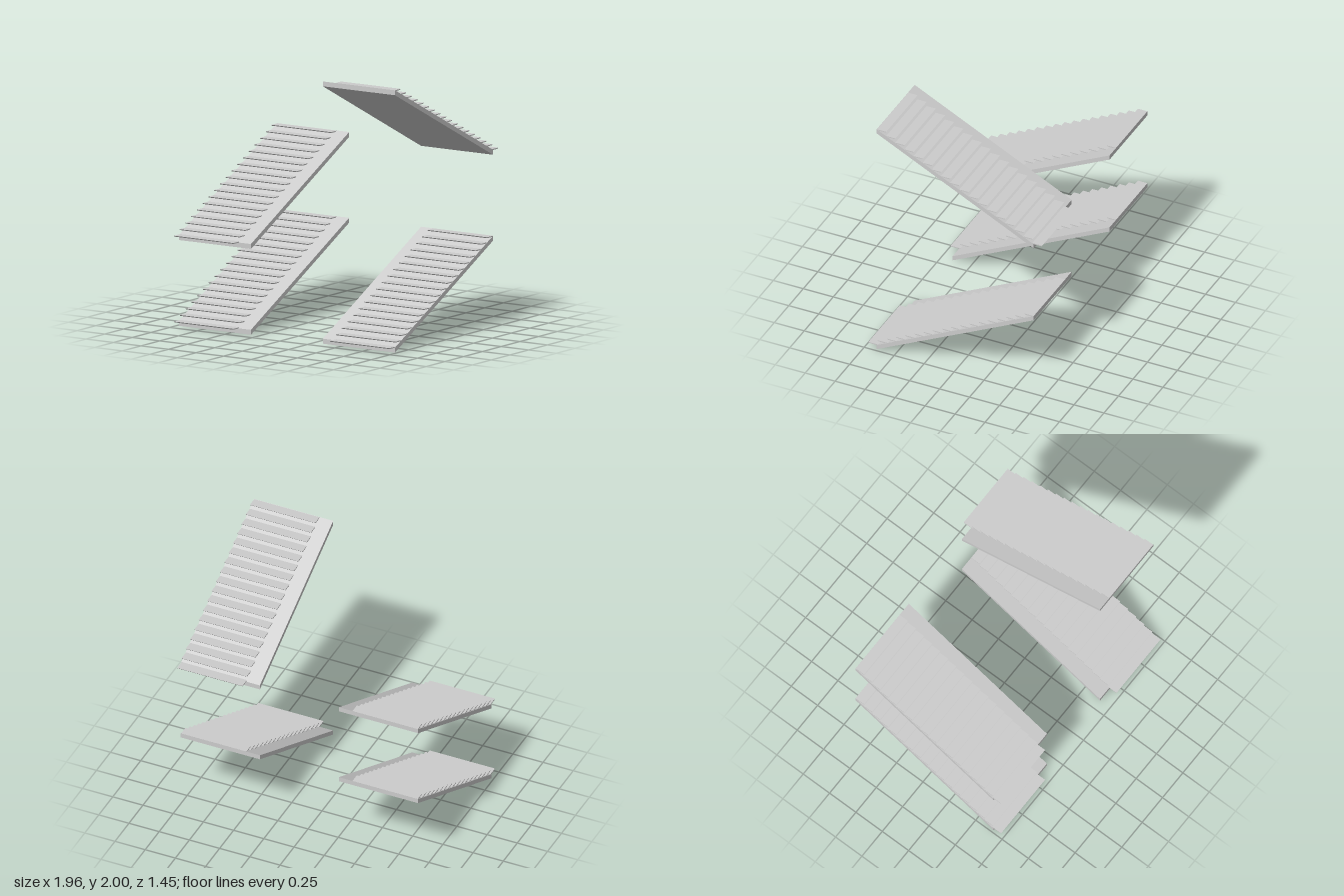
import * as THREE from 'three';

const HALF = 0.655;      // half length and full width of a flight
const SLAB = 0.0375;     // vertical thickness of the sloped slab
const RISE = 0.655;      // height gained by one flight
const STEPS = 18;

const material = new THREE.MeshStandardMaterial({ color: 0xcccccc, flatShading: true });

// Extrude a side profile of [z, y] points along x, centred on x = 0
function profileMesh(name, points, width) {
  const shape = new THREE.Shape(points.map(([z, y]) => new THREE.Vector2(z, y)));
  const geometry = new THREE.ExtrudeGeometry(shape, { depth: width, bevelEnabled: false });
  geometry.translate(0, 0, -width / 2);
  geometry.rotateY(-Math.PI / 2);
  const mesh = new THREE.Mesh(geometry, material);
  mesh.name = name;
  return mesh;
}

// One flight climbing towards -z, its treads pushed to one side of the slab
function createFlight(name, treadSide) {
  const flight = new THREE.Group();
  flight.name = name;
  flight.add(profileMesh('slopedSlab', [
    [-HALF, RISE], [HALF, 0], [HALF, SLAB], [-HALF, RISE + SLAB],
  ], 0.655));

  // Thin open treads with a slanted nosing, let into the slab at the back
  for (let i = 0; i < STEPS; i++) {
    const front = 0.725 - i * 0.0765;
    const back = Math.max(front - 0.12, -HALF);
    const top = 0.044 + i * 0.0381;
    const tread = profileMesh('tread', [
      [back, top - 0.008], [front - 0.007, top - 0.008], [front, top], [back, top],
    ], 0.54);
    tread.position.x = treadSide * 0.055;
    flight.add(tread);
  }
  return flight;
}

export function createModel() {
  const model = new THREE.Group();
  model.name = 'staircase';

  // name, side of the model, base height, turned to climb towards the front
  const flights = [
    ['lowerLeftFlight', 1, 0, false],
    ['lowerRightFlight', -1, 0, false],
    ['middleRightFlight', -1, RISE, false],
    ['upperLeftFlight', 1, RISE * 2, true],
  ];
  for (const [name, side, y, turned] of flights) {
    const flight = createFlight(name, turned ? -side : side);
    flight.position.set(side * 0.654, y, 0);
    if (turned) flight.rotation.y = Math.PI;
    model.add(flight);
  }
  return model;
}
